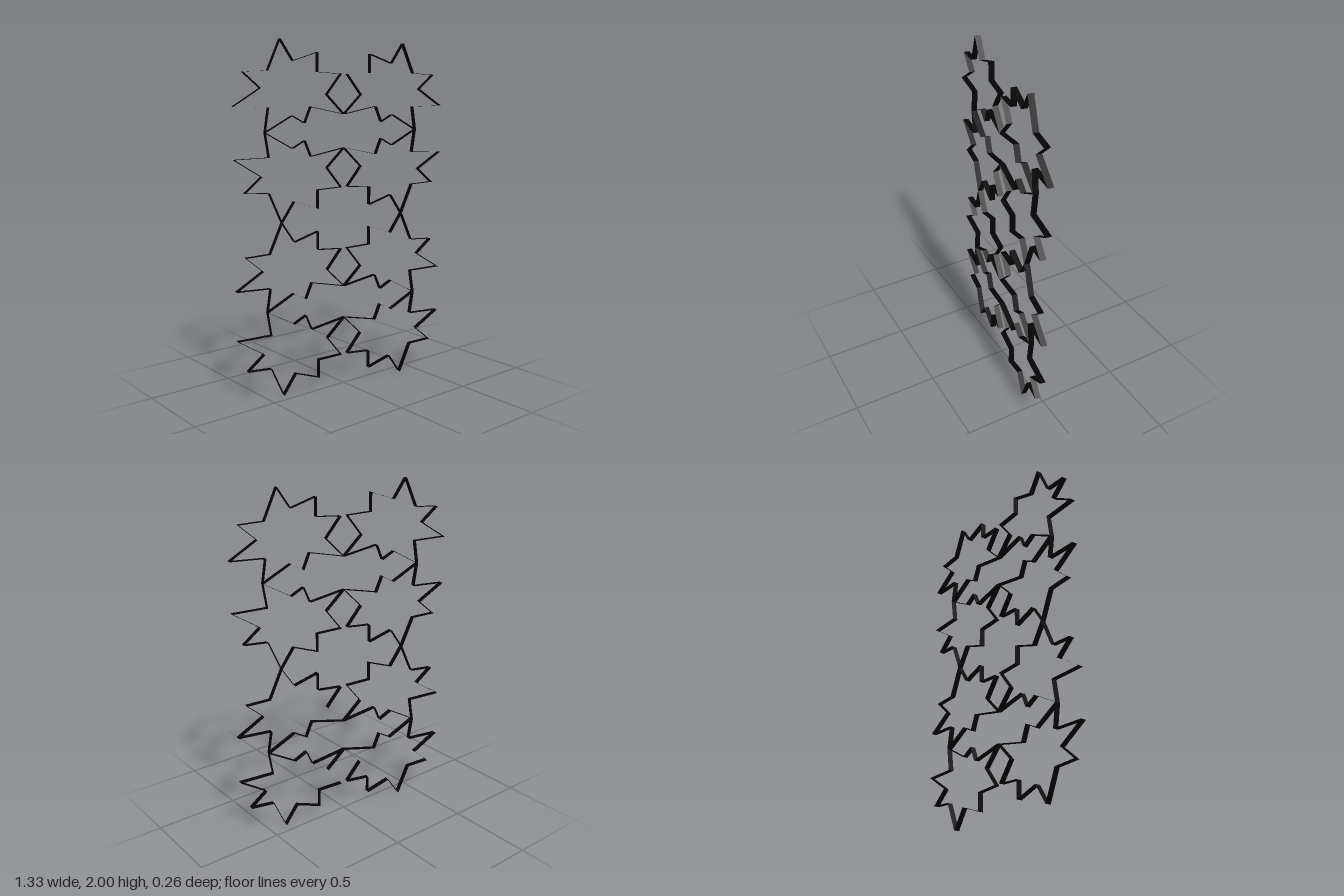
import * as THREE from 'three';

const TILT = 0.169;   // the whole screen is turned slightly about y
const DEPTH = 0.034;  // width of the ribbon

// One eight-pointed star outline (upper right), alternating tip and notch
const STAR = [
  [0.391, 2.0], [0.315, 1.885], [0.168, 1.935], [0.168, 1.828],
  [0.02, 1.82], [0.11, 1.705], [0, 1.595], [0.21, 1.638],
  [0.247, 1.548], [0.322, 1.59], [0.484, 1.5], [0.463, 1.635],
  [0.664, 1.64], [0.508, 1.738], [0.607, 1.823], [0.465, 1.83],
];

// Closed thin ribbon that follows an outline
function ribbonGeometry(points) {
  const position = [], index = [];
  points.forEach(([x, y], i) => {
    position.push(x, y, -DEPTH / 2, x, y, DEPTH / 2);
    const a = i * 2, b = ((i + 1) % points.length) * 2;
    index.push(a, b, b + 1, a, b + 1, a + 1);
  });
  const geometry = new THREE.BufferGeometry();
  geometry.setAttribute('position', new THREE.Float32BufferAttribute(position, 3));
  geometry.setIndex(index);
  const flat = geometry.toNonIndexed();
  flat.computeVertexNormals();
  return flat;
}

export function createModel() {
  const model = new THREE.Group();
  model.name = 'starScreen';
  const material = new THREE.MeshStandardMaterial({
    color: 0x050505, flatShading: true, side: THREE.DoubleSide,
  });

  // Two columns of four stars, each mirrored from its neighbour
  const rows = [y => y, y => 3 - y, y => y - 1, y => 2 - y];
  for (const side of [1, -1]) {
    rows.forEach((place, row) => {
      const outline = STAR.map(([x, y]) => [side * x / Math.cos(TILT), place(y)]);
      const star = new THREE.Mesh(ribbonGeometry(outline), material);
      star.name = `${side > 0 ? 'left' : 'right'}Star${row + 1}`;
      model.add(star);
    });
  }
  model.rotation.y = -TILT;
  return model;
}
